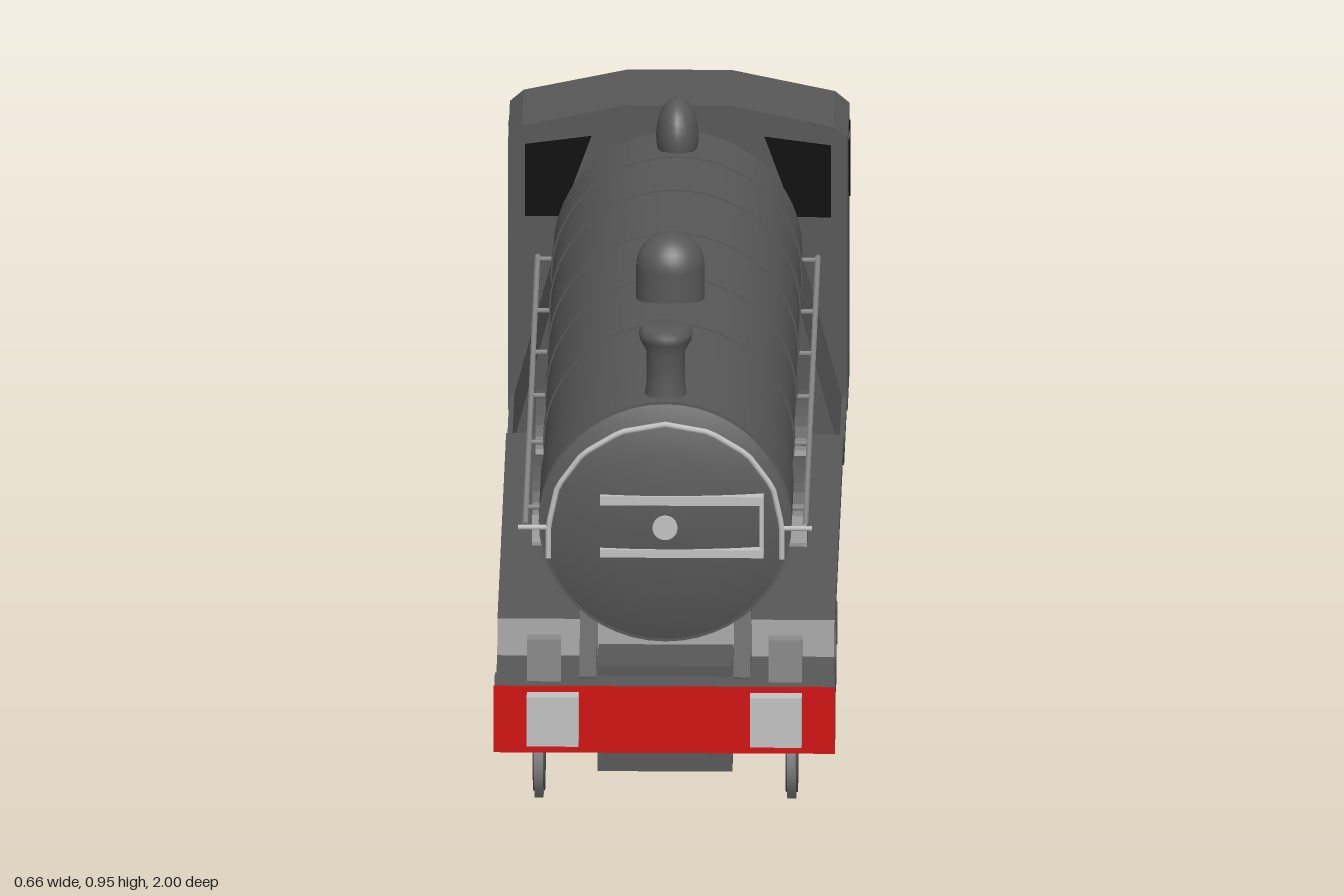
import * as THREE from 'three';

const mat = (name, color, side = THREE.FrontSide) => {
  const m = new THREE.MeshStandardMaterial({ color, side });
  m.name = name;
  return m;
};

export function createModel() {
  const body = mat('body grey', 0x585858);
  const steel = mat('steel grey', 0x8a8a8a);
  const bright = mat('bright metal', 0xc2c2c2);
  const red = mat('beam red', 0xd00d0d);
  const black = mat('cab black', 0x0a0a0a);
  const root = new THREE.Group();
  root.name = 'locomotive';

  const add = (name, geo, m, x = 0, y = 0, z = 0) => {
    const mesh = new THREE.Mesh(geo, m);
    mesh.name = name;
    mesh.position.set(x, y, z);
    root.add(mesh);
    return mesh;
  };
  // box from its limits
  const box = (name, m, x0, x1, y0, y1, z0, z1) =>
    add(name, new THREE.BoxGeometry(x1 - x0, y1 - y0, z1 - z0), m, (x0 + x1) / 2, (y0 + y1) / 2, (z0 + z1) / 2);
  const shapeOf = pts => new THREE.Shape(pts.map(p => new THREE.Vector2(...p)));
  // outline in (x, y), extruded from z0 to z1
  const slabZ = (name, m, shape, z0, z1) =>
    add(name, new THREE.ExtrudeGeometry(shape, { depth: z1 - z0, bevelEnabled: false }), m, 0, 0, z0);
  // outline in (z, y), extruded from x0 to x1
  const slabX = (name, m, pts, x0, x1) => {
    const g = new THREE.ExtrudeGeometry(shapeOf(pts), { depth: x1 - x0, bevelEnabled: false });
    g.rotateY(-Math.PI / 2);
    return add(name, g, m, x1, 0, 0);
  };
  const cylZ = (name, m, r, z0, z1, y, open = false) => {
    const g = new THREE.CylinderGeometry(r, r, z1 - z0, 48, 1, open).rotateX(Math.PI / 2);
    return add(name, g, m, 0, y, (z0 + z1) / 2);
  };
  const cylX = (name, m, r, x0, x1, y, z, seg = 32) => {
    const g = new THREE.CylinderGeometry(r, r, x1 - x0, seg).rotateZ(Math.PI / 2);
    return add(name, g, m, (x0 + x1) / 2, y, z);
  };
  const lathe = (pts, seg = 32) => new THREE.LatheGeometry(pts.map(p => new THREE.Vector2(...p)), seg);
  const rail = (name, m, pts, r) => {
    const path = new THREE.CurvePath();
    const v = pts.map(p => new THREE.Vector3(...p));
    for (let i = 1; i < v.length; i++) path.add(new THREE.LineCurve3(v[i - 1], v[i]));
    return add(name, new THREE.TubeGeometry(path, (v.length - 1) * 4, r, 6), m);
  };

  // boiler, smokebox and domed door
  const cy = 0.578;
  cylZ('boiler', body, 0.24, -0.79, 0.61, cy);
  cylZ('smokebox', body, 0.244, 0.61, 0.852, cy);
  add('smokeboxDoor', lathe([[0.244, 0.85], [0.2, 0.866], [0.14, 0.877], [0.07, 0.885], [0, 0.888]], 48)
    .rotateX(Math.PI / 2), body, 0, cy, 0);
  for (const z of [0.36, 0.08, -0.18, -0.44, -0.64]) cylZ('boilerBand', body, 0.243, z - 0.015, z + 0.015, cy);

  // chimney and domes
  add('chimney', lathe([[0.045, 0.79], [0.037, 0.84], [0.037, 0.905], [0.05, 0.93], [0.052, 0.944], [0.042, 0.955], [0, 0.955]], 24),
    body, 0, 0, 0.79);
  const dome = [[0.066, 0.78], [0.066, 0.875]];
  for (let i = 1; i <= 8; i++) {
    const a = i * Math.PI / 16;
    dome.push([0.066 * Math.cos(a), 0.875 + 0.065 * Math.sin(a)]);
  }
  add('steamDome', lathe(dome), body, 0, 0, 0.185);
  add('safetyValveCover', new THREE.SphereGeometry(1, 24, 16), body, 0, 0.835, -0.71).scale.set(0.041, 0.076, 0.07);

  // door fittings
  box('doorBarTop', bright, -0.125, 0.19, 0.623, 0.641, 0.862, 0.89);
  box('doorBarBottom', bright, -0.125, 0.19, 0.517, 0.533, 0.862, 0.89);
  box('doorBarSide', bright, 0.182, 0.19, 0.533, 0.623, 0.862, 0.885);
  cylZ('doorKnob', bright, 0.024, 0.88, 0.893, cy);
  const arch = [[-0.225, 0.51, 0.872]];
  for (let i = 0; i <= 8; i++) {
    const a = Math.PI * (1 - i / 8);
    arch.push([0.225 * Math.cos(a), 0.575 + 0.207 * Math.sin(a), 0.872]);
  }
  arch.push([0.225, 0.51, 0.872]);
  rail('frontHandrail', bright, arch, 0.006);

  // firebox flaring out towards its base
  slabZ('firebox', body, shapeOf([[-0.318, 0.27], [0.318, 0.27], [0.24, 0.565], [-0.24, 0.565]]), -0.79, -0.46);

  // cab shell, dark lining and windows
  const outline = (inset, floor) => {
    const half = [[0.327, 0.805], [0.3, 0.828], [0.1, 0.87]].map(([x, y]) => [x - inset, y - inset]);
    return [[-0.327 + inset, floor], [0.327 - inset, floor], ...half, ...half.map(([x, y]) => [-x, y]).reverse()];
  };
  const ring = (a, b) => {
    const s = shapeOf(a);
    s.holes.push(new THREE.Path(b.map(p => new THREE.Vector2(...p))));
    return s;
  };
  slabZ('cabShell', body, ring(outline(0, 0.25), outline(0.012, 0.272)), -1, -0.785);
  slabZ('cabLining', black, ring(outline(0.012, 0.272), outline(0.018, 0.278)), -0.995, -0.8);
  slabZ('cabFront', body, shapeOf(outline(0.006, 0.26)), -0.796, -0.786);
  slabZ('cabFrontLining', black, shapeOf(outline(0.014, 0.275)), -0.804, -0.797);
  box('cabFloor', body, -0.309, 0.309, 0.274, 0.285, -0.995, -0.804);
  box('cabSeat', body, -0.13, 0.13, 0.28, 0.34, -0.94, -0.804);

  // underside of the cab and the main frame
  box('rearFrame', body, -0.31, 0.31, 0.097, 0.255, -0.985, -0.51);
  box('mainFrame', body, -0.2, 0.2, 0.092, 0.33, -0.515, 0.34);
  box('bogieFrame', body, -0.13, 0.13, 0.086, 0.3, 0.34, 0.9);

  // stepped running board
  const top = [[0.96, 0.28], [0.78, 0.28], [0.745, 0.343], [-0.37, 0.343], [-0.47, 0.28], [-0.8, 0.28]];
  slabX('runningBoard', body, [...top, ...top.map(([z, y]) => [z - (z > 0.7 && z < 0.9 ? 0.025 : 0), y - 0.033]).reverse()], -0.325, 0.325);

  // buffer beam
  box('bufferBeam', body, -0.328, 0.328, 0.147, 0.278, 0.877, 0.96);
  box('beamFace', red, -0.329, 0.329, 0.146, 0.279, 0.96, 0.967);

  for (const s of [-1, 1]) {
    const sideBox = (name, m, x0, x1, ...r) => box(name, m, Math.min(s * x0, s * x1), Math.max(s * x0, s * x1), ...r);
    const sideCyl = (name, m, r, x0, x1, ...q) => cylX(name, m, r, Math.min(s * x0, s * x1), Math.max(s * x0, s * x1), ...q);
    const sideSlab = (name, m, pts, x0, x1) => slabX(name, m, pts, Math.min(s * x0, s * x1), Math.max(s * x0, s * x1));

    sideBox('buffer', bright, 0.165, 0.265, 0.169, 0.269, 0.967, 1);
    sideBox('lampBracket', steel, 0.2, 0.265, 0.28, 0.365, 0.905, 0.935);
    sideSlab('framePlate', body, [[0.92, 0.27], [0.92, 0.285], [0.78, 0.373], [-0.46, 0.373], [-0.46, 0.27]], 0.132, 0.165);

    // cab windows
    slabZ('cabFrontWindow', black, shapeOf([[0.295, 0.645], [0.295, 0.79], [0.167, 0.807], [0.225, 0.645]]
      .map(([x, y]) => [s * x, y])), -0.787, -0.782);
    sideSlab('cabSideWindow', black, [[-0.92, 0.648], [-0.92, 0.757], [-0.935, 0.77], [-1, 0.77], [-1, 0.615]], 0.322, 0.329);

    // boiler handrail
    rail('sideHandrail', steel, [[s * 0.27, 0.572, 0.86], [s * 0.27, 0.572, -0.755]], 0.006);
    rail('handrailStub', bright, [[s * 0.225, 0.572, 0.872], [s * 0.283, 0.572, 0.872]], 0.005);
    for (const z of [0.75, 0.36, 0.08, -0.18, -0.43, -0.74])
      sideCyl('handrailPost', steel, 0.005, 0.23, 0.27, 0.572, z, 6);

    // wheels: pale tyre with a dark centre disc
    for (const [z, r] of [[0.126, 0.2], [-0.27, 0.2], [0.796, 0.112], [0.465, 0.112], [-0.665, 0.112]]) {
      const y = r + 0.003;
      sideCyl('tyre', steel, r, 0.235, 0.252, y, z, 40);
      sideCyl('wheelDisc', body, r - 0.013, 0.232, 0.255, y, z, 40);
      sideCyl('axle', body, 0.014, 0, 0.235, y, z, 12);
    }
    // splashers over the driving wheels
    for (const z of [0.126, -0.27]) {
      const arc = [];
      for (let i = 0; i <= 18; i++) {
        const a = 0.35 + (Math.PI - 0.7) * i / 18;
        arc.push([z + 0.2 * Math.cos(a), 0.256 + 0.2 * Math.sin(a)]);
      }
      sideSlab('splasher', body, arc, 0.165, 0.265);
    }

    // cylinder and motion
    sideCyl('steamCylinder', body, 0.066, 0.19, 0.326, 0.232, 0.643);
    cylX('dummy', body, 0.066, 0, 0.01, 0.232, 0.643).removeFromParent();
    sideBox('pistonRod', steel, 0.28, 0.298, 0.232, 0.247, 0.39, 0.578);
    sideBox('crosshead', body, 0.265, 0.325, 0.18, 0.258, 0.38, 0.412);
    sideSlab('connectingRod', steel, [[0.4, 0.25], [-0.35, 0.178], [-0.35, 0.155], [0.4, 0.226]], 0.285, 0.3);
    sideSlab('couplingRod', steel, [[0.11, 0.183], [-0.35, 0.178], [-0.35, 0.157], [0.11, 0.16]], 0.265, 0.28);
    for (const z of [0.09, -0.32]) sideCyl('crankPin', steel, 0.014, 0.25, 0.285, 0.17, z, 12);
  }
  return root;
}
